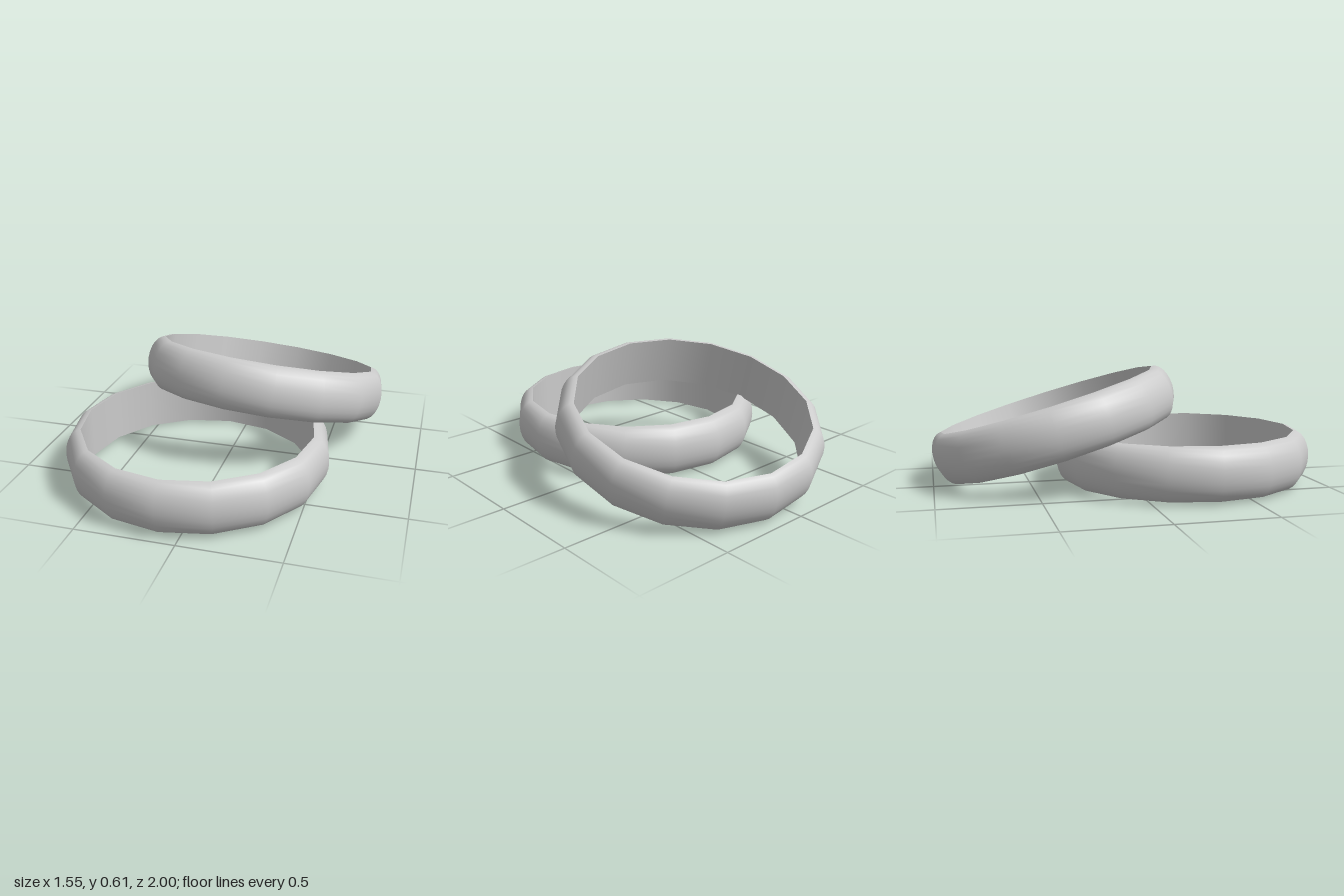
import * as THREE from 'three';

const SIDES = 16;        // facets around each band
const INNER = 0.6;       // inner radius
const BULGE = 0.082;     // how far the outside swells
const HALF = 0.135;      // half the band height

function makeRing(name) {
  const material = new THREE.MeshStandardMaterial({ color: 0xcccccc });
  const ring = new THREE.Group();
  ring.name = name;

  // Domed outside: half an ellipse from the lower rim to the upper rim
  const dome = [];
  for (let i = 0; i <= 12; i++) {
    const a = -Math.PI / 2 + (Math.PI * i) / 12;
    dome.push(new THREE.Vector2(INNER + BULGE * Math.cos(a), HALF * Math.sin(a)));
  }
  const outside = new THREE.Mesh(new THREE.LatheGeometry(dome, SIDES), material);
  outside.name = 'domedOutside';

  // Straight inside wall, running downward so that it faces the axis
  const wall = [new THREE.Vector2(INNER, HALF), new THREE.Vector2(INNER, -HALF)];
  const inside = new THREE.Mesh(new THREE.LatheGeometry(wall, SIDES), material);
  inside.name = 'insideWall';

  ring.add(outside, inside);
  return ring;
}

export function createModel() {
  const model = new THREE.Group();
  model.name = 'pairOfRings';

  // Ring lying flat
  const flat = makeRing('flatRing');
  flat.position.set(-0.098, 0.145, 0.315);

  // Ring leaning on the first, its front edge raised
  const leaning = makeRing('leaningRing');
  leaning.position.set(0.098, 0.305, -0.345);
  const deg = THREE.MathUtils.degToRad;
  const uphill = deg(-16);
  const axis = new THREE.Vector3(-Math.cos(uphill), 0, Math.sin(uphill));
  const spin = new THREE.Quaternion().setFromAxisAngle(new THREE.Vector3(0, 1, 0), deg(-7.2));
  leaning.quaternion.setFromAxisAngle(axis, deg(17)).multiply(spin);

  model.add(flat, leaning);
  return model;
}
